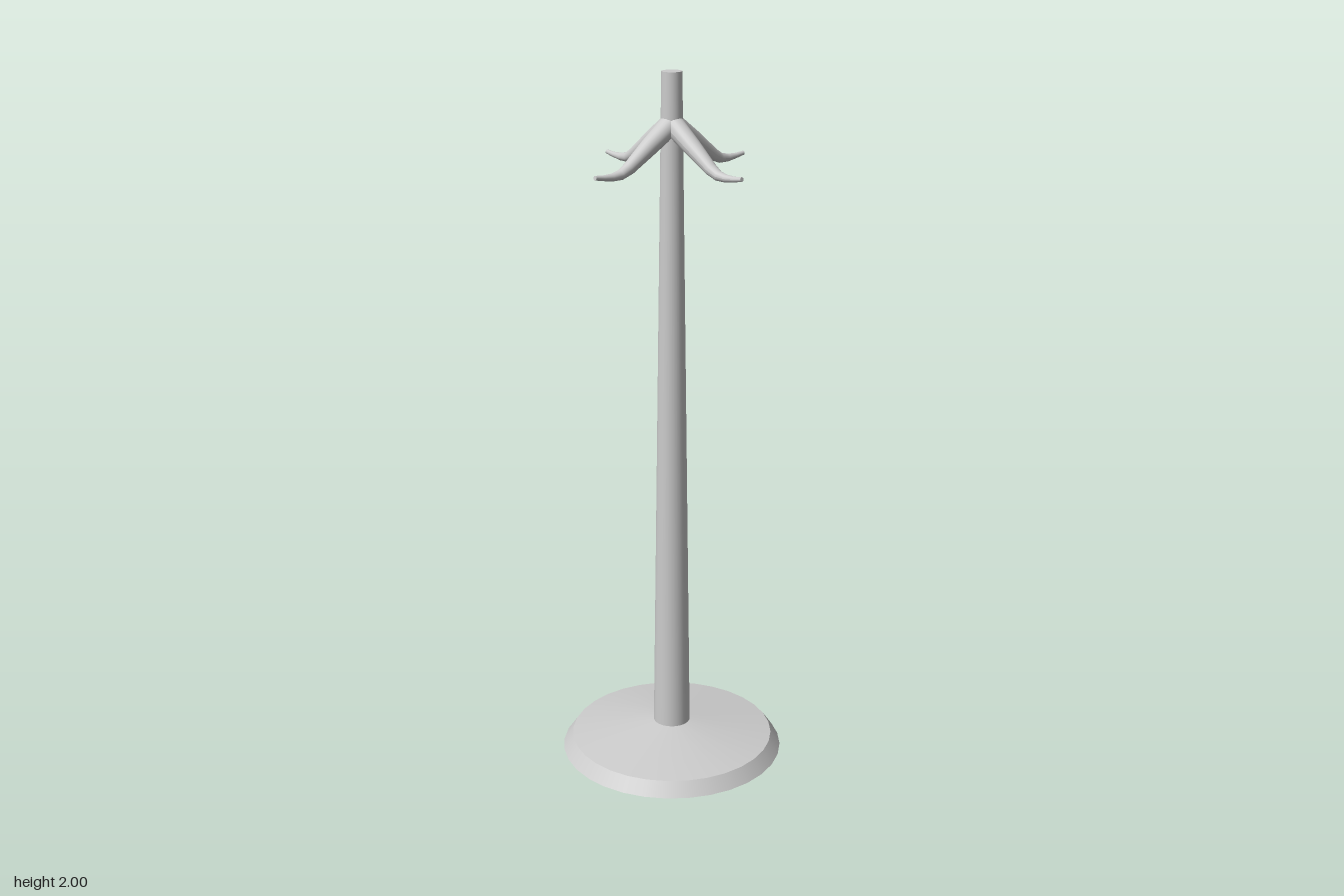
import * as THREE from 'three';

const material = new THREE.MeshStandardMaterial({ color: 0xcccccc });

function addPart(group, name, geometry, y = 0) {
  const mesh = new THREE.Mesh(geometry, material);
  mesh.name = name;
  mesh.position.y = y;
  group.add(mesh);
  return mesh;
}

// Capped round arm swept through rings of [x, y, radius]
function taperedArm(rings, sides) {
  const last = rings.length - 1;
  const geometry = new THREE.CylinderGeometry(1, 1, 1, sides, last);
  const p = geometry.attributes.position;
  for (let v = 0; v < p.count; v++) {
    const i = Math.round((0.5 - p.getY(v)) * last);
    const [cx, cy, r] = rings[i];
    const a = rings[Math.max(i - 1, 0)];
    const b = rings[Math.min(i + 1, last)];
    const t = new THREE.Vector2(b[0] - a[0], b[1] - a[1]).normalize();
    const side = p.getX(v) * r;
    p.setXYZ(v, cx - t.y * side, cy + t.x * side, p.getZ(v) * r);
  }
  geometry.computeVertexNormals();
  return geometry;
}

export function createModel() {
  const group = new THREE.Group();
  group.name = 'coatStand';

  // Round foot: bevelled rim, shallow cone on top
  addPart(group, 'baseRim', new THREE.CylinderGeometry(0.297, 0.325, 0.04, 32), 0.02);
  addPart(group, 'baseTop', new THREE.CylinderGeometry(0.05, 0.297, 0.04, 32, 1, true), 0.06);

  // Tapered pole
  addPart(group, 'pole', new THREE.CylinderGeometry(0.028, 0.054, 1.94, 32), 1.03);

  // Four drooping hooks with upturned tips
  const hook = taperedArm([
    [0, 1.863, 0.03],
    [0.08, 1.81, 0.0245],
    [0.152, 1.761, 0.0175],
    [0.18, 1.748, 0.014],
    [0.21, 1.745, 0.0105],
    [0.24, 1.747, 0.0075],
    [0.268, 1.751, 0.006],
  ], 20);
  for (let i = 0; i < 4; i++) {
    addPart(group, 'hook', hook).rotation.y = (i * Math.PI) / 2;
  }
  return group;
}
